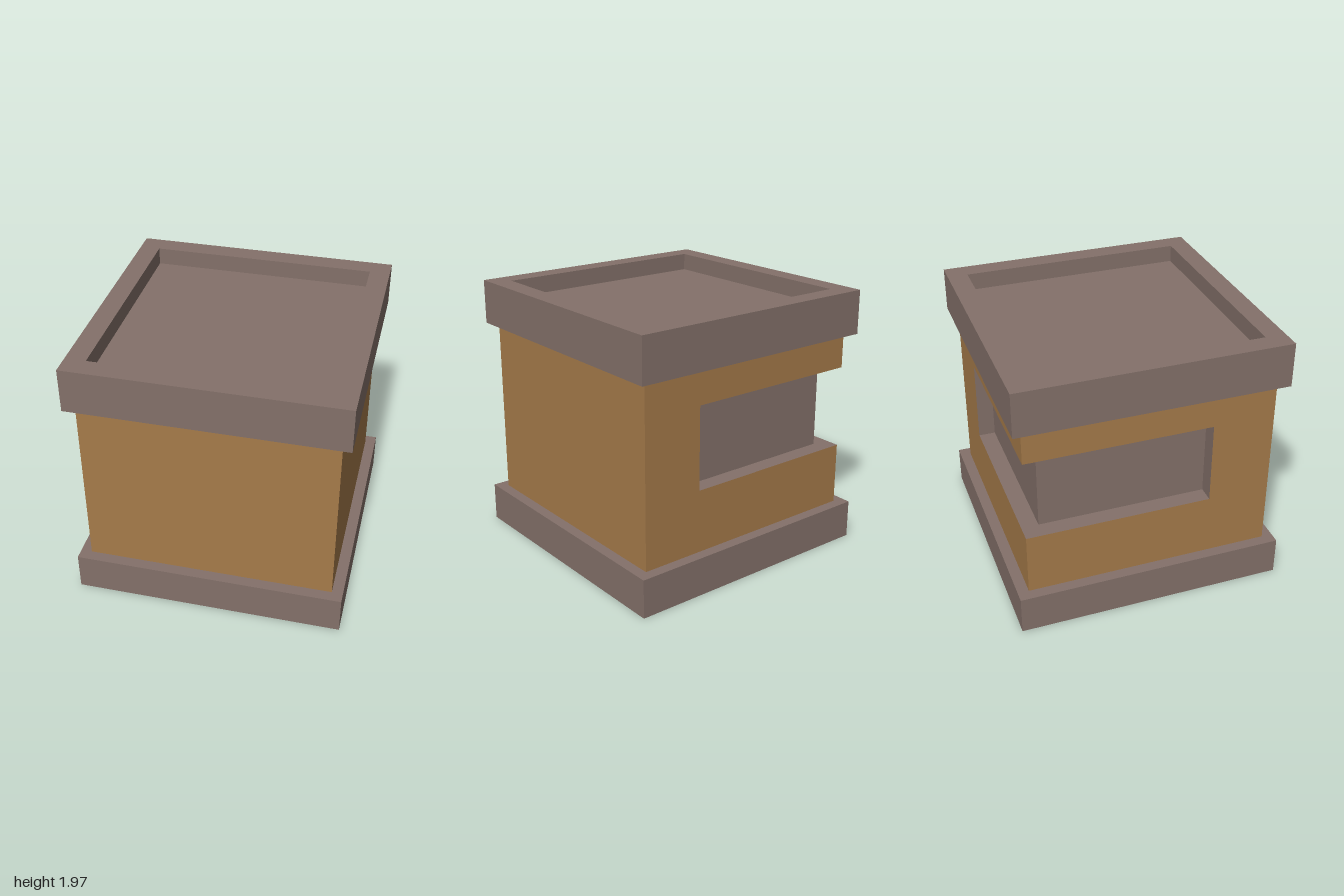
import * as THREE from 'three';

export function createModel() {
  const model = new THREE.Group();
  model.name = 'crate';

  const stone = new THREE.MeshStandardMaterial({ color: 0x84716a });
  stone.name = 'stone grey';
  const wood = new THREE.MeshStandardMaterial({ color: 0xa67b4a });
  wood.name = 'wood brown';

  const add = (name, geometry, material) => {
    const mesh = new THREE.Mesh(geometry, material);
    mesh.name = name;
    model.add(mesh);
    return mesh;
  };

  // Box given by its ranges on each axis
  const box = (name, [x0, x1], [y0, y1], [z0, z1], material) => {
    const geometry = new THREE.BoxGeometry(x1 - x0, y1 - y0, z1 - z0);
    geometry.translate((x0 + x1) / 2, (y0 + y1) / 2, (z0 + z1) / 2);
    return add(name, geometry, material);
  };

  // Wooden box whose one face (0..5 = +x -x +y -y +z -z) is stone
  const woodWithStoneFace = (face) =>
    Array.from({ length: 6 }, (_, i) => (i === face ? stone : wood));

  const BASE_TOP = 0.29, BODY_TOP = 1.64, LID_TOP = 1.97, LID_FLOOR = 1.84;
  const BODY = 0.918;                      // half width of the body
  const OPEN_LOW = 0.76, OPEN_HIGH = 1.38; // height range of the corner recess
  const OPEN_END = 0.455;                  // where the recess ends on each side
  const CORE = -0.793;                     // back wall of the recess
  const full = [-BODY, BODY];
  const middle = [OPEN_LOW, OPEN_HIGH];

  // Base slab
  box('base', [-1, 1], [0, BASE_TOP], [-1, 1], stone);

  // Body, with a recess wrapping round the back corner at -x, -z
  box('lowerBody', full, [BASE_TOP, OPEN_LOW], full, woodWithStoneFace(2));
  box('upperBody', full, [OPEN_HIGH, BODY_TOP], full, woodWithStoneFace(3));
  box('sideBody', [OPEN_END, BODY], middle, full, woodWithStoneFace(1));
  box('frontBody', [-BODY, OPEN_END], middle, [OPEN_END, BODY], woodWithStoneFace(5));
  box('recessCore', [CORE, OPEN_END], middle, [CORE, OPEN_END], stone);

  // Lid: square rim around a sunken panel
  const square = (Type, h) =>
    new Type([[-h, -h], [h, -h], [h, h], [-h, h]].map(([x, y]) => new THREE.Vector2(x, y)));
  const rim = square(THREE.Shape, 0.988);
  rim.holes.push(square(THREE.Path, 0.837));
  const rimGeometry = new THREE.ExtrudeGeometry(rim, { depth: LID_TOP - BODY_TOP, bevelEnabled: false });
  rimGeometry.rotateX(-Math.PI / 2).translate(0, BODY_TOP, 0);
  add('lidRim', rimGeometry, stone);
  box('lidPanel', [-0.837, 0.837], [BODY_TOP, LID_FLOOR], [-0.837, 0.837], stone);

  return model;
}
